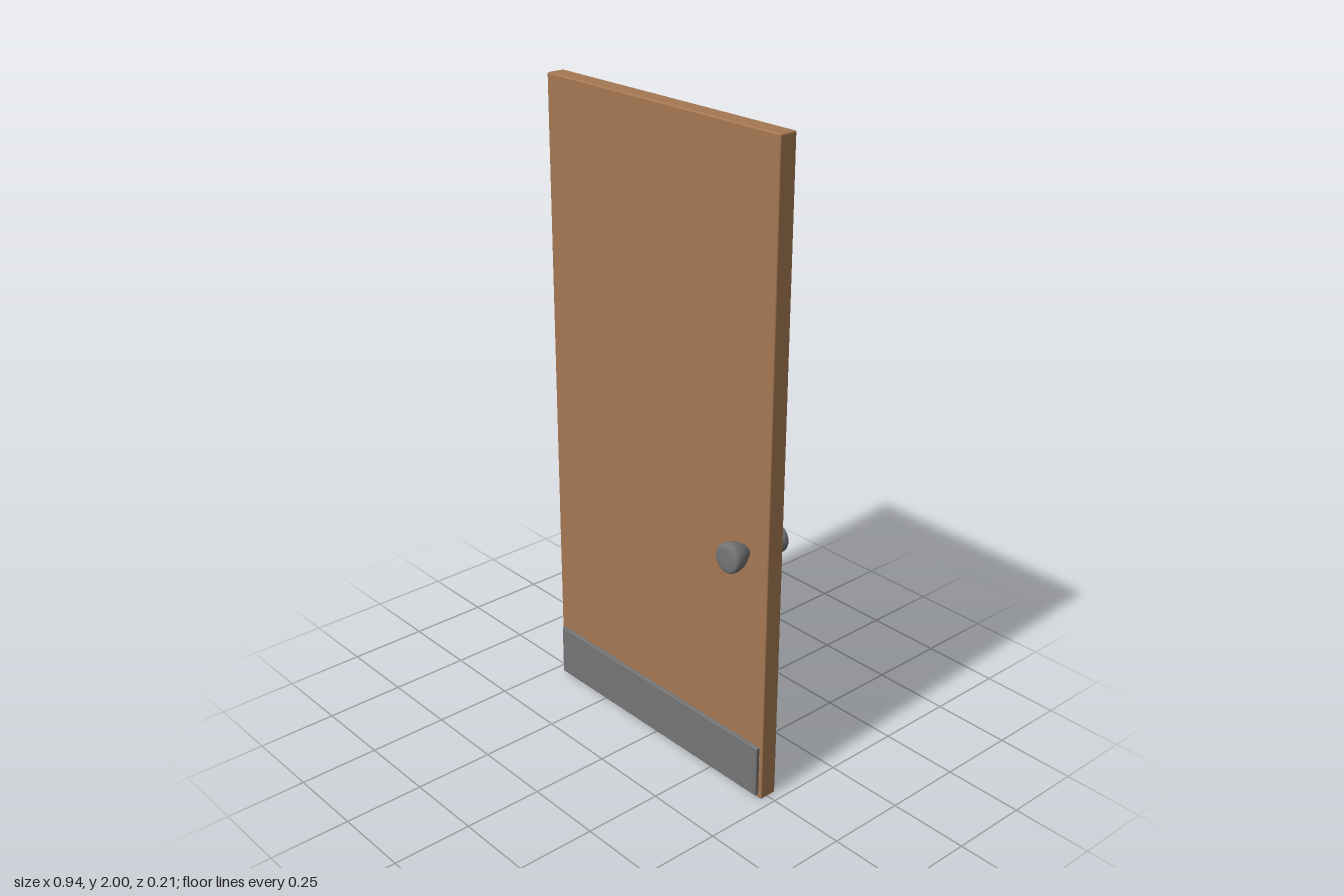
import * as THREE from 'three';
import { RoundedBoxGeometry } from 'three/addons/geometries/RoundedBoxGeometry.js';

export function createModel() {
  const wood = new THREE.MeshStandardMaterial({ color: 0xa57853 });
  wood.name = 'wood';
  const metal = new THREE.MeshStandardMaterial({ color: 0x757575 });
  metal.name = 'metal';

  const model = new THREE.Group();
  model.name = 'door';

  const add = (name, geometry, material, x, y, z) => {
    const mesh = new THREE.Mesh(geometry, material);
    mesh.name = name;
    mesh.position.set(x, y, z);
    model.add(mesh);
    return mesh;
  };

  // Door slab with slightly eased edges; its back sits a hair further out
  add('doorPanel', new RoundedBoxGeometry(0.938, 2, 0.058, 2, 0.005), wood, 0, 1, -0.002);

  // Knob profile: narrow neck, flaring bell, softly rounded flat face
  const knobProfile = [
    [0.018, 0], [0.019, 0.028], [0.024, 0.036], [0.032, 0.047], [0.039, 0.06],
    [0.044, 0.076], [0.0455, 0.088], [0.0445, 0.097], [0.041, 0.102],
    [0.035, 0.104], [0.02, 0.105], [0, 0.105],
  ].map(([r, h]) => new THREE.Vector2(r, h));
  const knobGeometry = new THREE.LatheGeometry(knobProfile, 32);
  const plateGeometry = new RoundedBoxGeometry(0.914, 0.167, 0.02, 2, 0.004);

  // Matching knob and kick plate on each face
  for (const [side, s] of [['front', 1], ['back', -1]]) {
    const knob = add(side + 'Knob', knobGeometry, metal, 0.38, 0.8, 0);
    knob.rotation.x = s * Math.PI / 2;
    add(side + 'KickPlate', plateGeometry, metal, 0, 0.095, s * 0.031 - 0.002);
  }

  return model;
}
